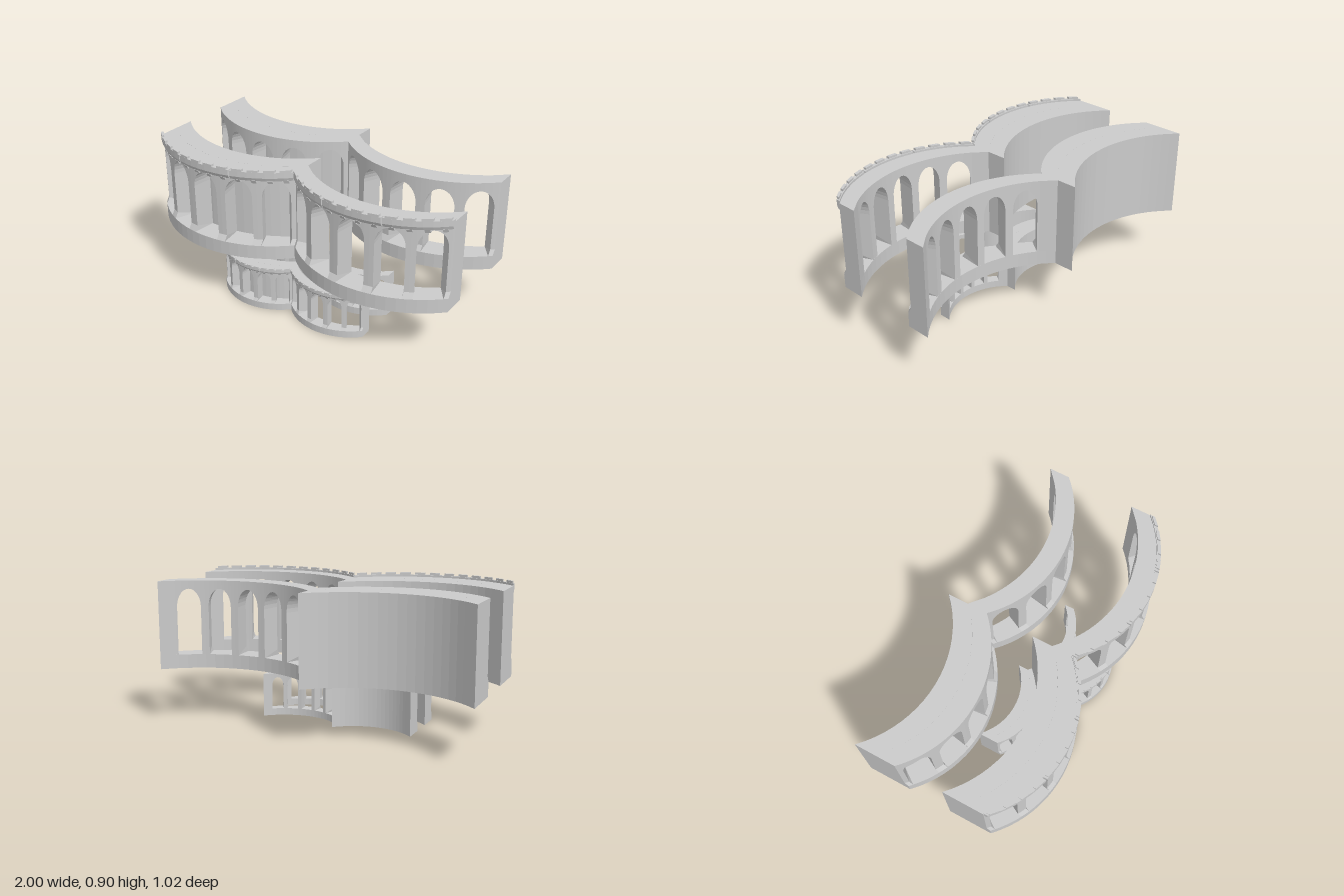
import * as THREE from 'three';
import { mergeGeometries } from 'three/addons/utils/BufferGeometryUtils.js';

const R = Math.SQRT1_2;            // quarter-circle plan with a chord of 1
const DEG = Math.PI / 180;
const THICK = 0.123;               // arcade wall
const BACKING = 0.248;             // rear of the closed wall
const FOOT = 0.022;                // projection of plinth and cornice
const SILL = 0.085, SPRING = 0.38, CROWN = 0.49, TOP = 0.54;
const BAYS = 5, BAY = 90 / BAYS, HALF = 6.75;

const material = new THREE.MeshStandardMaterial({ color: 0xcccccc, flatShading: true });

// Point on the curved plan, moved along z by offset
const at = (deg, y, offset = 0) =>
  new THREE.Vector3(R * Math.sin(deg * DEG), y, R * (Math.cos(deg * DEG) - 1) + offset);

// Point on the rear of the arcade, met by a radial line (ends stay in plane)
function rear(deg, y) {
  const a = deg * DEG;
  if (Math.abs(deg) > 44.99) return at(deg, y, -THICK);
  const r = -THICK * Math.cos(a) + Math.sqrt(R * R - (THICK * Math.sin(a)) ** 2);
  return new THREE.Vector3(r * Math.sin(a), y, r * Math.cos(a) - R);
}

// Evenly spaced angles
const steps = (from, to, n) => Array.from({ length: n + 1 }, (_, i) => from + (to - from) * i / n);

// Closed solid through matching loops (rear-bottom corner first)
function sweep(angles, section) {
  const loops = angles.map(section), pos = [];
  const tri = (...pts) => pts.forEach(p => pos.push(p.x, p.y, p.z));
  const n = loops[0].length, last = loops[loops.length - 1];
  for (let i = 0; i + 1 < loops.length; i++) {
    const A = loops[i], B = loops[i + 1];
    for (let j = 0; j < n; j++) {
      const k = (j + 1) % n;
      tri(A[j], B[j], B[k]);
      tri(A[j], B[k], A[k]);
    }
  }
  for (let j = 1; j + 1 < n; j++) {
    tri(loops[0][0], loops[0][j], loops[0][j + 1]);
    tri(last[0], last[j + 1], last[j]);
  }
  const g = new THREE.BufferGeometry();
  g.setAttribute('position', new THREE.Float32BufferAttribute(pos, 3));
  g.computeVertexNormals();
  return g;
}

function part(name, geometries) {
  const mesh = new THREE.Mesh(mergeGeometries(geometries), material);
  mesh.name = name;
  return mesh;
}

// Plinth, piers and arches of one curved wall
function addArcade(wall) {
  wall.add(part('plinth', [sweep(steps(-45, 45, 20), a =>
    [at(a, 0, -THICK), at(a, 0, FOOT), at(a, SILL, FOOT), at(a, SILL, -THICK)])]));

  const piers = [], arches = [];
  for (let i = 0; i <= BAYS; i++) {
    const edge = -45 + BAY * i;
    const from = i === 0 ? -45 : edge - BAY / 2 + HALF;
    const to = i === BAYS ? 45 : edge + BAY / 2 - HALF;
    piers.push(sweep(steps(from, to, 2), a =>
      [rear(a, SILL), at(a, SILL, FOOT), at(a, SILL + 0.033), at(a, TOP), rear(a, TOP)]));
    if (i === BAYS) break;
    const mid = edge + BAY / 2;
    // Elliptical soffit, sampled evenly around the curve
    arches.push(sweep(steps(0, 1, 14).map(t => mid - HALF * Math.cos(t * Math.PI)), a => {
      const u = (a - mid) / HALF;
      const y = SPRING + (CROWN - SPRING) * Math.sqrt(Math.max(0, 1 - u * u));
      return [rear(a, y), at(a, y), at(a, TOP), rear(a, TOP)];
    }));
  }
  wall.add(part('piers', piers), part('arches', arches));
}

// Three cornice lengths with merlons above and corbels below
function addCornice(wall) {
  const bands = [], merlons = [], corbels = [];
  const block = (from, to, low, high, back, front, lean = 0) => sweep(steps(from, to, 1), a =>
    [at(a, low, back), at(a, low, front - lean), at(a, high, front), at(a, high, back)]);
  for (let s = 0; s < 3; s++) {
    const start = -45 + 30 * s;
    bands.push(sweep(steps(start + 0.3, start + 29.7, 7), a =>
      [at(a, 0.498, -0.004), at(a, 0.498, 0.012), at(a, 0.512, 0.019), at(a, 0.518, FOOT),
        at(a, 0.552, FOOT), at(a, 0.552, -0.004)]));
    for (let i = 0; i < 4; i++) {
      const c = start + 3.75 + 7.5 * i;
      merlons.push(block(c - 2.4, c + 2.4, 0.55, 0.565, 0.002, FOOT));
      corbels.push(block(c - 1.2, c + 1.2, 0.48, 0.5, -0.004, 0.016, 0.011));
    }
  }
  wall.add(part('corniceBand', bands), part('merlons', merlons), part('corbels', corbels));
}

function makeWall(closed, crenellated) {
  const wall = new THREE.Group();
  wall.name = closed ? 'closedWall' : 'openArcade';
  addArcade(wall);
  if (closed) {
    wall.add(part('backing', [sweep(steps(-45, 45, 20), a =>
      [at(a, 0, -BACKING), at(a, 0, -THICK), at(a, TOP, -THICK), at(a, TOP, -BACKING)])]));
  }
  if (crenellated) addCornice(wall);
  wall.position.x = closed ? -0.5 : 0.5;
  return wall;
}

export function createModel() {
  const model = new THREE.Group();
  model.name = 'curvedArcades';
  // Large tier above, half-size tier below; only the front row is crenellated
  const rows = [
    ['upperFrontRow', 1, 0.335, 0.483, true],
    ['upperBackRow', 1, 0.335, -0.057, false],
    ['lowerFrontRow', 0.5, 0, 0.434, true],
    ['lowerBackRow', 0.5, 0, 0.164, false],
  ];
  for (const [name, scale, y, z, crenellated] of rows) {
    const row = new THREE.Group();
    row.name = name;
    row.add(makeWall(true, crenellated), makeWall(false, crenellated));
    row.scale.setScalar(scale);
    row.position.set(0, y, z);
    model.add(row);
  }
  return model;
}
